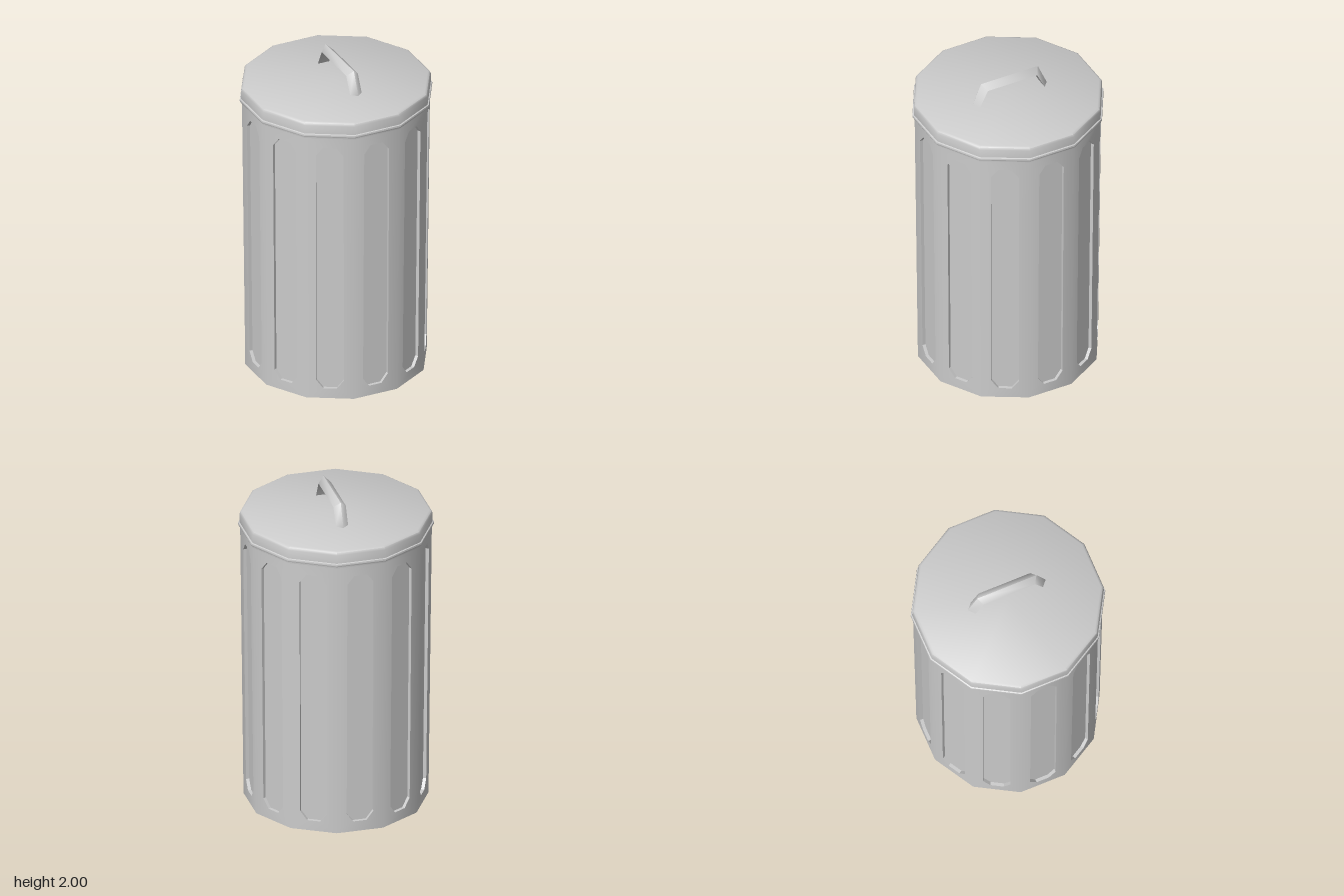
import * as THREE from 'three';
import { mergeGeometries, toCreasedNormals } from 'three/addons/utils/BufferGeometryUtils.js';

const SIDES = 12;
const STEP = (Math.PI * 2) / SIDES;
const FACE_ANGLE = THREE.MathUtils.degToRad(85); // first wall, measured from +x to +z
const LATHE_START = THREE.MathUtils.degToRad(20);
const BODY_TOP = 1.775;
const RECESS = 0.02;

const material = new THREE.MeshStandardMaterial({ color: 0xcccccc });

function addMesh(parent, name, geometry) {
  const mesh = new THREE.Mesh(geometry, material);
  mesh.name = name;
  parent.add(mesh);
  return mesh;
}

// Triangles from a list of quads (counter-clockwise corners)
function quadGeometry(quads) {
  const points = quads.flatMap(([a, b, c, d]) => [a, b, c, a, c, d]);
  const geometry = new THREE.BufferGeometry().setFromPoints(points);
  geometry.computeVertexNormals();
  return geometry;
}

// Slightly widening body radius
const bodyRadius = (y) => 0.547 + (0.02 * y) / BODY_TOP;

// Point on wall k: s across, y up, depth inwards
function wallPoint(k, s, y, depth) {
  const t = FACE_ANGLE + k * STEP;
  const r = bodyRadius(y) * Math.cos(STEP / 2) - depth;
  return new THREE.Vector3(
    Math.cos(t) * r + Math.sin(t) * s, y, Math.sin(t) * r - Math.cos(t) * s);
}

// Bend a flat shape onto wall k
function onWall(shape, k, depth) {
  const geometry = new THREE.ShapeGeometry(shape).toNonIndexed();
  geometry.deleteAttribute('uv');
  const pos = geometry.attributes.position;
  for (let i = 0; i < pos.count; i++) {
    const p = wallPoint(k, pos.getX(i), pos.getY(i), depth);
    pos.setXYZ(i, p.x, p.y, p.z);
  }
  geometry.computeVertexNormals();
  return geometry;
}

function createBody() {
  const body = new THREE.Group();
  body.name = 'body';

  // Tall octagonal panel outline
  const w = 0.082, c = 0.04, y0 = 0.065, y1 = 1.69, cy = 0.055;
  const outline = [
    [-c, y0], [c, y0], [w, y0 + cy], [w, y1 - cy],
    [c, y1], [-c, y1], [-w, y1 - cy], [-w, y0 + cy],
  ].map(([x, y]) => new THREE.Vector2(x, y));

  // Wall outline around the panel
  const half = (y) => bodyRadius(y) * Math.sin(STEP / 2);
  const frame = new THREE.Shape([
    [-half(0), 0], [half(0), 0], [half(BODY_TOP), BODY_TOP], [-half(BODY_TOP), BODY_TOP],
  ].map(([x, y]) => new THREE.Vector2(x, y)));
  frame.holes.push(new THREE.Path(outline));

  const frames = [], panels = [], edges = [];
  for (let k = 0; k < SIDES; k++) {
    frames.push(onWall(frame, k, 0));
    panels.push(onWall(new THREE.Shape(outline), k, RECESS));
    edges.push(quadGeometry(outline.map((p, i) => {
      const q = outline[(i + 1) % outline.length];
      return [
        wallPoint(k, p.x, p.y, 0), wallPoint(k, q.x, q.y, 0),
        wallPoint(k, q.x, q.y, RECESS), wallPoint(k, p.x, p.y, RECESS),
      ];
    })));
  }

  // Radial normals blend the walls into one round surface
  const walls = mergeGeometries(frames);
  const { position, normal } = walls.attributes;
  for (let i = 0; i < position.count; i++) {
    const x = position.getX(i), z = position.getZ(i), r = Math.hypot(x, z);
    normal.setXYZ(i, x / r, 0, z / r);
  }
  addMesh(body, 'bodyWall', walls);
  addMesh(body, 'recessedPanels', mergeGeometries(panels));
  addMesh(body, 'panelEdges', mergeGeometries(edges));

  // Flat base
  const base = new THREE.CircleGeometry(bodyRadius(0), SIDES, FACE_ANGLE + STEP / 2);
  addMesh(body, 'base', base.rotateX(Math.PI / 2));
  return body;
}

function createLid() {
  // Rolled lip, short skirt, rounded shoulder and flat top
  const profile = [
    [0.55, 1.755], [0.57, 1.755], [0.571, 1.765], [0.578, 1.767], [0.581, 1.775],
    [0.579, 1.784], [0.572, 1.787], [0.571, 1.84], [0.566, 1.854], [0.553, 1.861], [0, 1.862],
  ].map(([r, y]) => new THREE.Vector2(r, y));
  const lathe = new THREE.LatheGeometry(profile, SIDES, LATHE_START);
  return toCreasedNormals(lathe, 0.75);
}

function createHandle() {
  // Triangular section: one outer ridge and two inner edges, along four stations
  const ridge = [[-0.25, 1.86], [-0.19, 2], [0.19, 2], [0.25, 1.86]];
  const inner = [[-0.217, 1.86], [-0.165, 1.965], [0.165, 1.965], [0.217, 1.86]];
  const width = 0.038;
  const sections = ridge.map(([u, y], i) => [
    new THREE.Vector3(u, y, 0),
    new THREE.Vector3(inner[i][0], inner[i][1], width),
    new THREE.Vector3(inner[i][0], inner[i][1], -width),
  ]);
  const quads = [];
  for (let i = 0; i < 3; i++) {
    for (let j = 0; j < 3; j++) {
      const n = (j + 1) % 3;
      quads.push([sections[i][j], sections[i][n], sections[i + 1][n], sections[i + 1][j]]);
    }
  }
  return toCreasedNormals(quadGeometry(quads), 1.6);
}

export function createModel() {
  const model = new THREE.Group();
  model.name = 'trashCan';
  model.add(createBody());
  addMesh(model, 'lid', createLid());

  // Handle lies across the lid, turned and slightly off centre
  const handle = addMesh(model, 'lidHandle', createHandle());
  handle.rotation.y = -THREE.MathUtils.degToRad(25);
  handle.position.set(0.012, 0, -0.02);
  return model;
}
